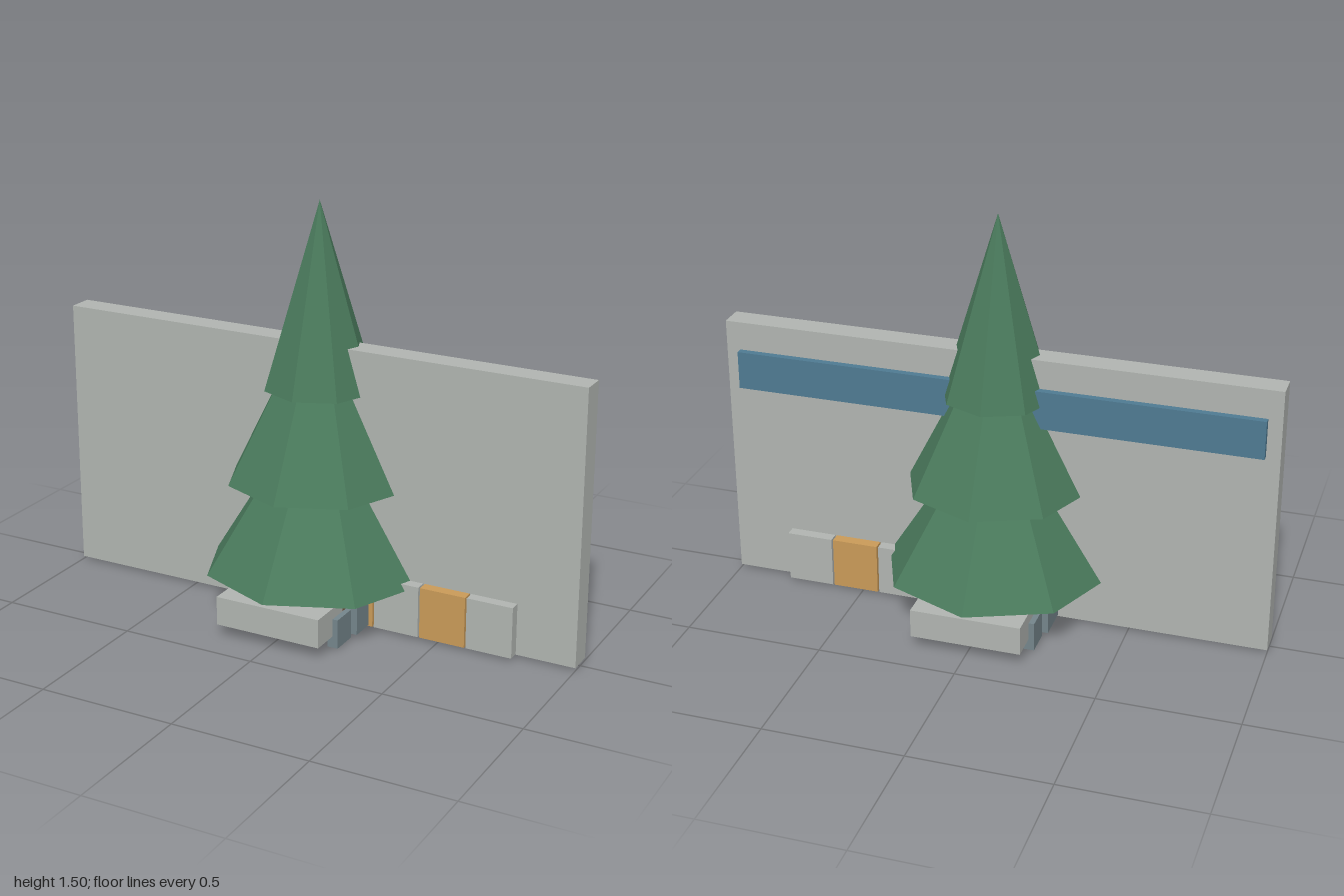
import * as THREE from 'three';

const material = (name, color) => {
  const m = new THREE.MeshStandardMaterial({ color });
  m.name = name;
  m.flatShading = true;
  return m;
};

export function createModel() {
  const model = new THREE.Group();
  model.name = 'treeAndWall';

  const grey = material('paleStone', 0xb0b4b0);
  const green = material('pineGreen', 0x4a7a5c);
  const brown = material('barkBrown', 0x7b5a44);
  const orange = material('ochre', 0xc99a58);
  const slate = material('slate', 0x74858b);
  const blue = material('steelBlue', 0x4f7a92);

  // Box given by its minimum and maximum corners
  const box = (name, mat, [x0, y0, z0], [x1, y1, z1]) => {
    const mesh = new THREE.Mesh(new THREE.BoxGeometry(x1 - x0, y1 - y0, z1 - z0), mat);
    mesh.position.set((x0 + x1) / 2, (y0 + y1) / 2, (z0 + z1) / 2);
    mesh.name = name;
    model.add(mesh);
  };

  // Wall with a band along its back
  box('wall', grey, [-1, 0.01, -0.045], [1, 1.005, 0.045]);
  box('wallBand', blue, [-0.95, 0.76, -0.07], [0.95, 0.9, -0.045]);

  // Three stacked eight-sided tiers of foliage
  for (const [radius, base] of [[0.415, 0.175], [0.333, 0.505], [0.2, 0.84]]) {
    const tier = new THREE.Mesh(new THREE.ConeGeometry(radius, 0.66, 8), green);
    tier.position.y = base + 0.33;
    tier.name = 'foliageTier';
    model.add(tier);
  }

  // Square base under the foliage, with crossing battens beneath
  box('trunkBase', brown, [-0.2, 0.003, -0.205], [0.2, 0.25, 0.205]);
  box('battenAlong', slate, [-0.02, 0, -0.205], [0.02, 0.006, 0.205]);
  box('battenAcross', slate, [-0.2, 0, -0.02], [0.2, 0.005, 0.02]);
  box('backPlate', blue, [-0.14, 0.06, -0.25], [0.14, 0.19, -0.205]);

  for (const s of [-1, 1]) {
    // Low blocks and posts at front and back
    box('steppingBlock', grey, [-0.2, 0.045, s * 0.28 - 0.105], [0.2, 0.15, s * 0.28 + 0.105]);
    box('centrePost', slate, [-0.02, 0.003, s * 0.208 - 0.007], [0.02, 0.19, s * 0.208 + 0.007]);
    // Side slabs
    box('sideSlab', slate, [s * 0.22 - 0.02, 0.015, -0.175], [s * 0.22 + 0.02, 0.19, 0.175]);
    // Corner feet
    for (const t of [-1, 1]) {
      box('cornerFoot', slate, [s * 0.2 - 0.02, 0.003, t * 0.23 - 0.05], [s * 0.2 + 0.02, 0.11, t * 0.23 + 0.05]);
    }
  }

  // Row of alternating panels through the wall on the left side
  for (let i = 0; i < 4; i++) {
    const x = 0.085 + i * 0.176;
    box('panel', i % 2 ? grey : orange, [x, 0.012, -0.085], [x + 0.17, 0.2, 0.085]);
  }

  return model;
}
